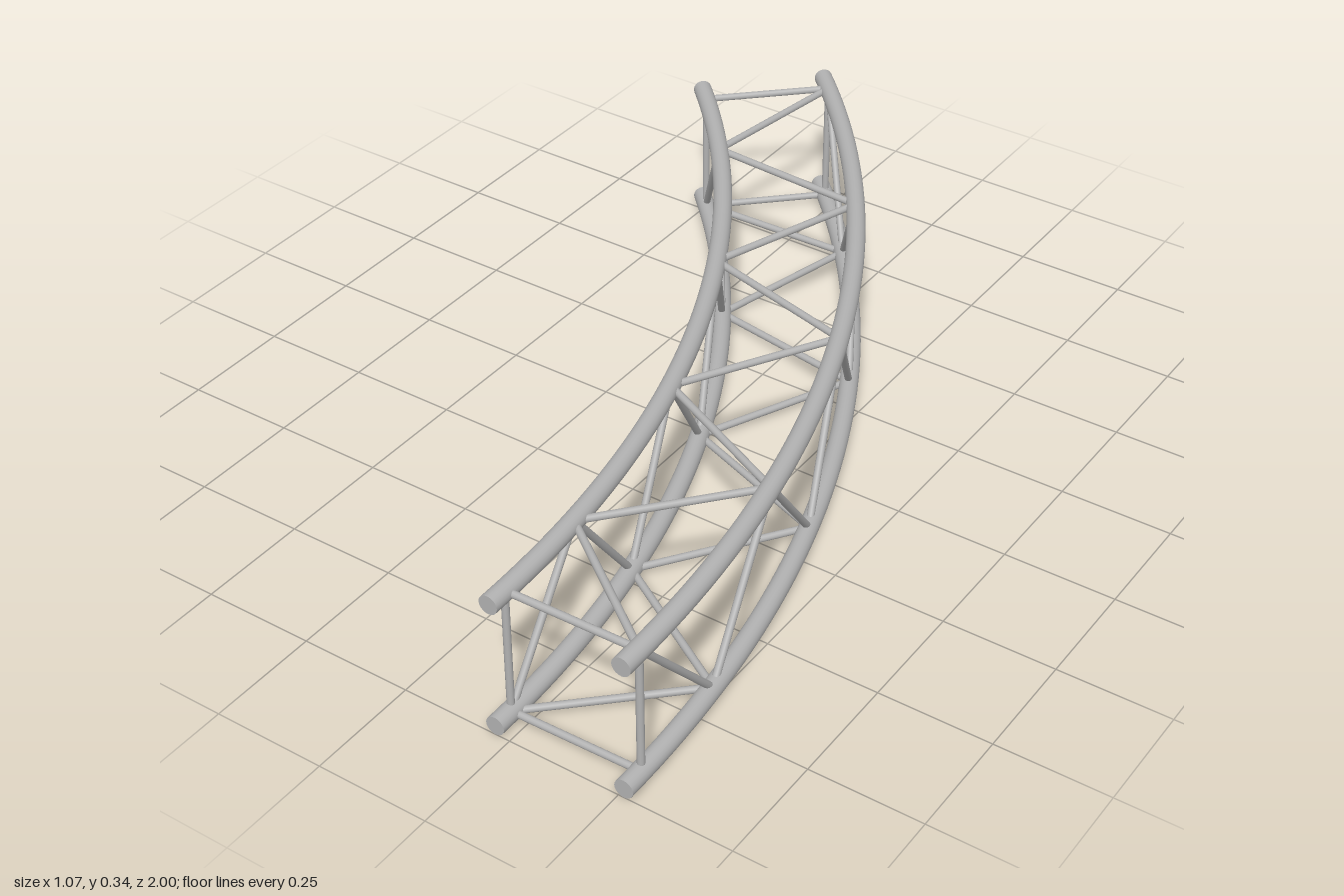
import * as THREE from 'three';

const ARC = Math.PI / 4;               // the truss sweeps 45 degrees
const OUTER = 2.807, INNER = 2.512;    // chord radii in plan
const TUBE = 0.021, ROD = 0.008;       // chord and brace thickness
const LOW = TUBE, HIGH = 0.317;        // chord heights
const BAYS = 8, INSET = 0.02;          // brace bays and end inset (radians)

export function createModel() {
  const steel = new THREE.MeshStandardMaterial({ color: 0xb2b2b2 });
  steel.name = 'steel grey';

  const truss = new THREE.Group();
  truss.name = 'curvedTruss';
  truss.position.set(-2.295, 0, 1);    // centre of the arc

  const add = (geometry, name) => {
    const mesh = new THREE.Mesh(geometry, steel);
    mesh.name = name;
    truss.add(mesh);
    return mesh;
  };

  // Point on a chord at brace node i
  const node = (radius, y, i) => {
    const a = INSET + (ARC - 2 * INSET) * i / BAYS;
    return new THREE.Vector3(radius * Math.cos(a), y, -radius * Math.sin(a));
  };

  // Round rod between two points
  const rod = (a, b, name) => {
    const dir = b.clone().sub(a);
    const mesh = add(new THREE.CylinderGeometry(ROD, ROD, dir.length(), 12, 1, true), name);
    mesh.position.copy(a).add(b).multiplyScalar(0.5);
    mesh.quaternion.setFromUnitVectors(new THREE.Vector3(0, 1, 0), dir.normalize());
  };

  // Four curved chords with flat end caps
  for (const radius of [OUTER, INNER]) {
    for (const y of [LOW, HIGH]) {
      add(new THREE.TorusGeometry(radius, TUBE, 20, 48, ARC).rotateX(-Math.PI / 2), 'chord').position.y = y;
      add(new THREE.CircleGeometry(TUBE, 20).translate(radius, 0, 0), 'frontCap').position.y = y;
      add(new THREE.CircleGeometry(TUBE, 20).rotateY(Math.PI).translate(radius, 0, 0).rotateY(ARC), 'backCap').position.y = y;
    }
  }

  // Four faces of the box truss: chord holding the even nodes, then the odd ones
  const faces = [
    ['topBrace', [OUTER, HIGH], [INNER, HIGH]],
    ['bottomBrace', [INNER, LOW], [OUTER, LOW]],
    ['outerBrace', [OUTER, HIGH], [OUTER, LOW]],
    ['innerBrace', [INNER, LOW], [INNER, HIGH]],
  ];
  for (const [name, even, odd] of faces) {
    // Zigzag diagonals
    for (let i = 0; i < BAYS; i++) {
      const [from, to] = i % 2 ? [odd, even] : [even, odd];
      rod(node(...from, i), node(...to, i + 1), name);
    }
    // Straight bars closing both ends
    for (const i of [0, BAYS]) rod(node(...even, i), node(...odd, i), 'endBar');
  }

  const model = new THREE.Group();
  model.name = 'trussModel';
  model.add(truss);
  return model;
}
